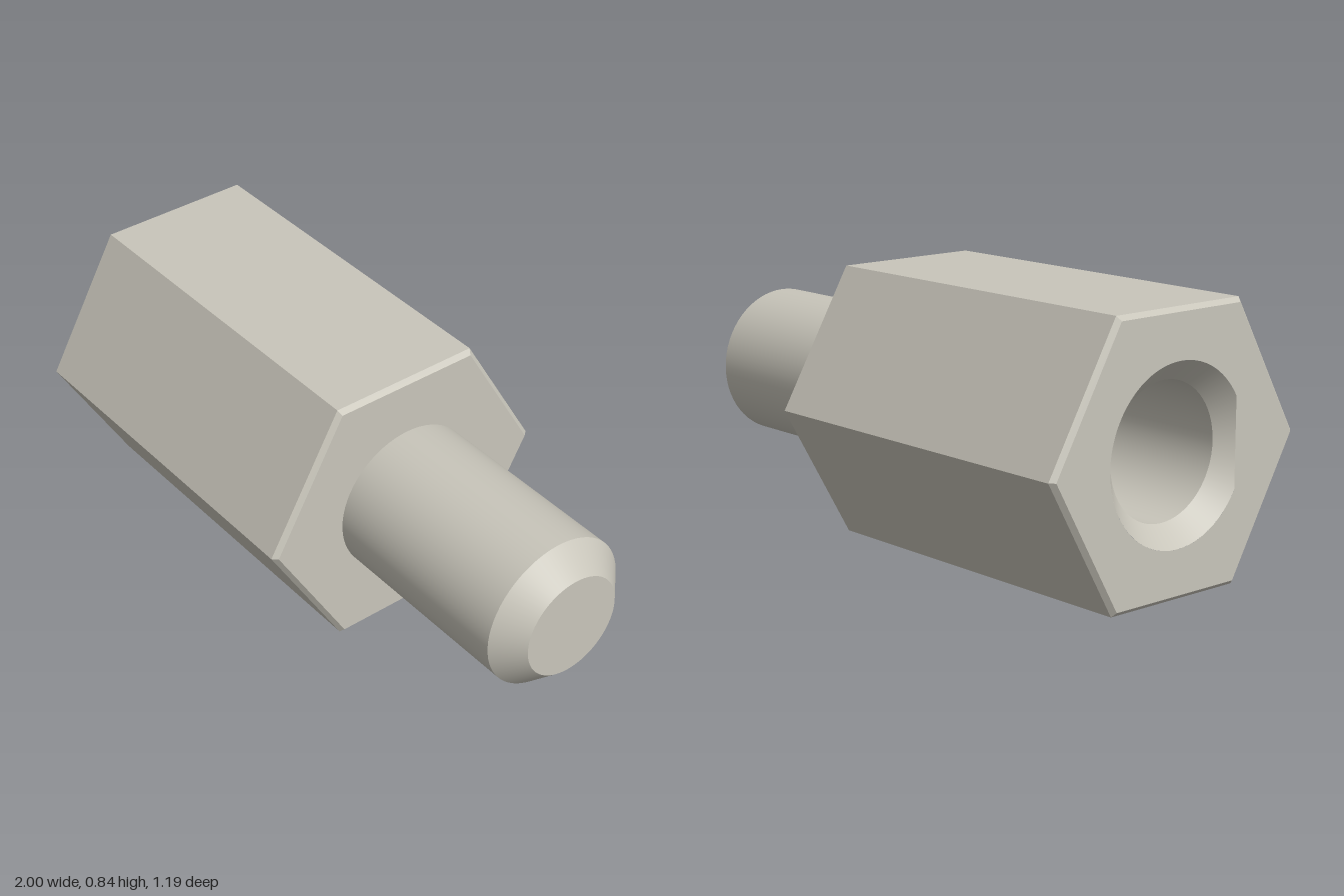
import * as THREE from 'three';
import { mergeGeometries } from 'three/addons/utils/BufferGeometryUtils.js';

const APOTHEM = 0.4185;
const RADIUS = APOTHEM / Math.cos(Math.PI / 6);
const BEVEL = 0.014;
const BODY = 1.185;   // hexagonal body length
const TOTAL = 1.907;  // body plus stud
const BORE = 0.205;
const SINK = 0.268;

// Lathe with a hard edge at every profile point
function turned(profile, sides) {
  const bands = profile.slice(1).map((p, i) =>
    new THREE.LatheGeometry([profile[i], p].map(([r, y]) => new THREE.Vector2(r, y)), sides));
  return mergeGeometries(bands);
}

export function createModel() {
  const metal = new THREE.MeshStandardMaterial({ color: 0xc8c5ba });
  const part = new THREE.Group();
  part.name = 'standoff';
  const add = (name, geometry) => {
    const mesh = new THREE.Mesh(geometry, metal);
    mesh.name = name;
    part.add(mesh);
  };

  // Six-sided body with bevelled rims and a closed stud end
  const rim = RADIUS - BEVEL * 1.15;
  const hex = turned([[rim, 0], [RADIUS, BEVEL], [RADIUS, BODY - BEVEL], [rim, BODY], [0, BODY]], 6).toNonIndexed();
  hex.computeVertexNormals();
  add('hexBody', hex);

  // Socket end face with a round opening
  const face = new THREE.Shape();
  for (let i = 0; i < 6; i++) {
    const a = Math.PI / 2 + i * Math.PI / 3;
    const x = rim * Math.cos(a), y = rim * Math.sin(a);
    if (i) face.lineTo(x, y); else face.moveTo(x, y);
  }
  face.closePath();
  face.holes.push(new THREE.Path().absarc(0, 0, SINK, 0, Math.PI * 2, true));
  add('socketFace', new THREE.ShapeGeometry(face, 64).rotateX(Math.PI / 2));

  // Blind bore with a countersunk mouth
  add('socket', turned([[0, 0.85], [BORE, 0.85], [BORE, SINK - BORE], [SINK, 0]], 64));

  // Round stud with a chamfered tip
  add('stud', turned([[0.238, BODY], [0.238, TOTAL - 0.078], [0.161, TOTAL], [0, TOTAL]], 64));

  // Lay the axis along x, turned slightly towards the front
  part.rotation.z = -Math.PI / 2;
  const model = new THREE.Group();
  model.name = 'hexStandoff';
  const turn = new THREE.Group();
  turn.name = 'turnedAxis';
  turn.rotation.y = -THREE.MathUtils.degToRad(12.1);
  turn.position.set(-0.899, APOTHEM, -0.125);
  turn.add(part);
  model.add(turn);
  return model;
}
